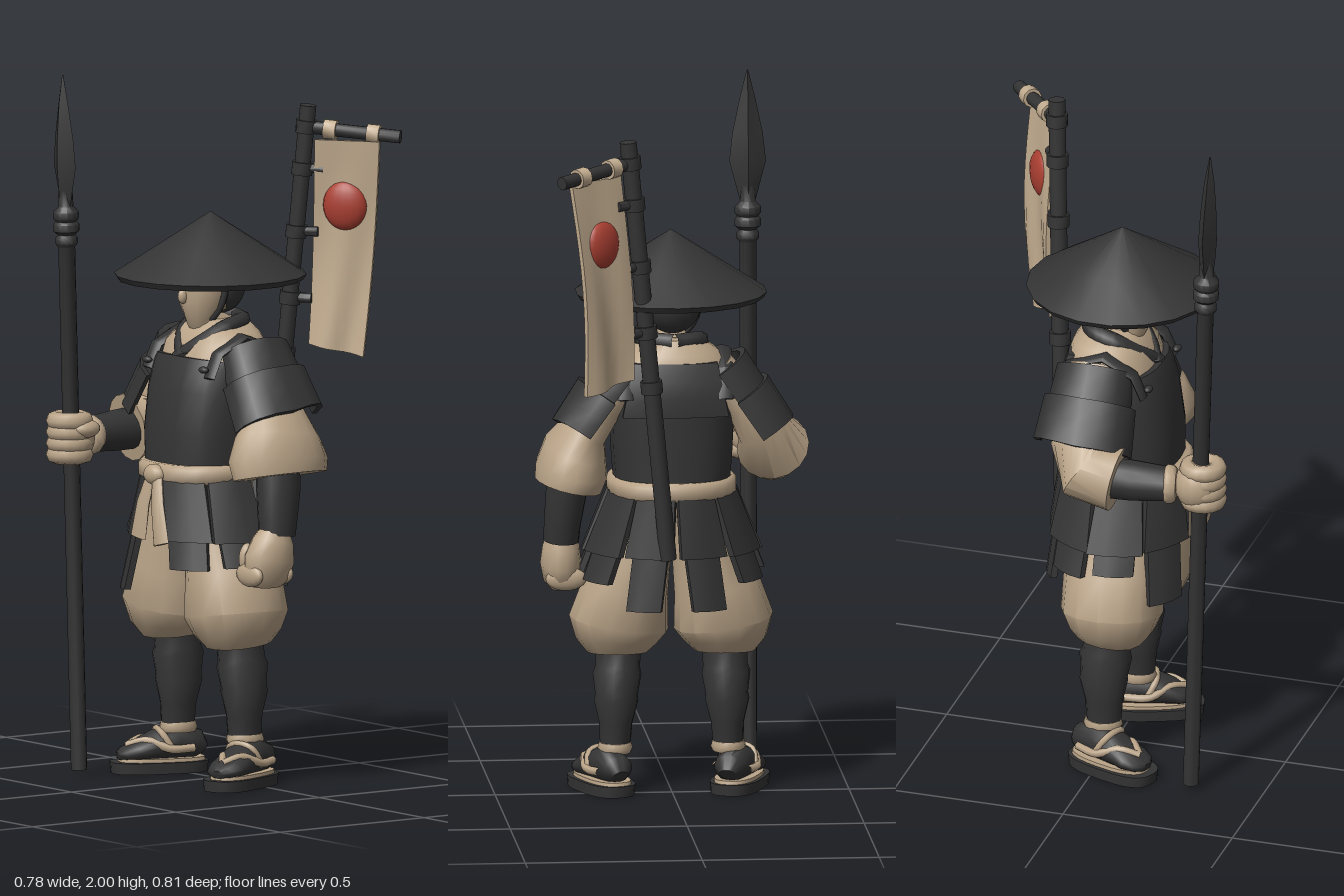
import * as THREE from 'three';
import { toCreasedNormals } from 'three/addons/utils/BufferGeometryUtils.js';

const material = (name, color) => Object.assign(new THREE.MeshStandardMaterial({ color }), { name });
const dark = material('charcoal', 0x343434);
const cloth = material('tan', 0xbaa488);
const pale = material('paleTan', 0xc3ad90);
const red = material('red', 0xaa3f32);
const V = (x, y, z) => new THREE.Vector3(x, y, z);

export function createModel() {
  const model = new THREE.Group();
  model.name = 'footSoldier';

  const add = (name, geometry, mat, parent = model) => {
    const mesh = new THREE.Mesh(geometry, mat);
    mesh.name = name;
    parent.add(mesh);
    return mesh;
  };

  // Skin elliptical rings [x, y, z, a, b] along a path; power > 2 squares them off
  function loft(name, mat, rings, { seg = 14, power = 2, crease = 0.9, parent = model } = {}) {
    const pos = [], index = [], n = rings.length;
    const centre = rings.map(r => V(r[0], r[1], r[2]));
    const round = c => Math.sign(c) * Math.abs(c) ** (2 / power);
    rings.forEach((r, j) => {
      const t = centre[Math.min(j + 1, n - 1)].clone().sub(centre[Math.max(j - 1, 0)]).normalize();
      const u = V(1, 0, 0).addScaledVector(t, -t.x).normalize();
      const v = t.clone().cross(u);
      for (let i = 0; i < seg; i++) {
        const q = (i / seg) * Math.PI * 2;
        const p = centre[j].clone().addScaledVector(u, r[3] * round(Math.cos(q))).addScaledVector(v, r[4] * round(Math.sin(q)));
        pos.push(p.x, p.y, p.z);
      }
    });
    pos.push(...centre[0].toArray(), ...centre[n - 1].toArray());
    for (let i = 0; i < seg; i++) {
      const k = (i + 1) % seg, top = (n - 1) * seg;
      for (let j = 0; j < n - 1; j++) {
        const a = j * seg + i, b = j * seg + k;
        index.push(a, b, b + seg, a, b + seg, a + seg);
      }
      index.push(n * seg, k, i, n * seg + 1, top + i, top + k);
    }
    const g = new THREE.BufferGeometry();
    g.setAttribute('position', new THREE.Float32BufferAttribute(pos, 3));
    g.setIndex(index);
    return add(name, toCreasedNormals(g, crease), mat, parent);
  }

  // Bend a slab: f(s, t, d) places across, up and depth, each -0.5 to 0.5
  function panel(name, mat, nx, ny, f) {
    const g = new THREE.BoxGeometry(1, 1, 1, nx, ny, 1), p = g.attributes.position;
    for (let i = 0; i < p.count; i++) {
      const q = f(p.getX(i), p.getY(i), p.getZ(i));
      p.setXYZ(i, q.x, q.y, q.z);
    }
    return add(name, toCreasedNormals(g, 0.7), mat);
  }

  const rod = (name, mat, p, q, r, parent) => loft(name, mat, [[...p, r, r], [...q, r, r]], { seg: 10, parent });
  const tube = (name, mat, points, r, parent) =>
    add(name, new THREE.TubeGeometry(new THREE.CatmullRomCurve3(points.map(p => V(...p))), 16, r, 7), mat, parent);
  const ball = (name, mat, [x, y, z], [a, b, c], parent) => {
    const m = add(name, new THREE.SphereGeometry(1, 16, 12), mat, parent);
    m.position.set(x, y, z);
    m.scale.set(a, b, c);
    return m;
  };

  // Wide conical hat
  const hatProfile = [[0, 1.55], [0.262, 1.42], [0.272, 1.436], [0.15, 1.515], [0.001, 1.612]];
  const hat = add('hat', toCreasedNormals(new THREE.LatheGeometry(hatProfile.map(p => new THREE.Vector2(...p)), 18), 0.6), dark);
  hat.position.set(0.002, 0, 0.018);

  // Head
  loft('face', cloth, [[0, 1.27, 0.0, 0.055, 0.06], [0, 1.315, 0.045, 0.042, 0.05], [0, 1.345, 0.04, 0.066, 0.07],
    [0, 1.42, 0.03, 0.078, 0.082], [0, 1.5, 0.02, 0.065, 0.07]]);
  ball('nose', cloth, [0, 1.378, 0.112], [0.012, 0.022, 0.016]);
  ball('hair', dark, [0, 1.405, -0.012], [0.084, 0.085, 0.072]);
  tube('chinStrap', dark, [[-0.083, 1.46, 0.02], [-0.074, 1.37, 0.025], [-0.043, 1.315, 0.04], [0, 1.303, 0.05],
    [0.043, 1.315, 0.04], [0.074, 1.37, 0.025], [0.083, 1.46, 0.02]], 0.01);

  // Torso, cuirass with raised back, and collar
  loft('robe', cloth, [[0, 0.8, 0.025, 0.16, 0.16], [0, 1.0, 0.025, 0.165, 0.15], [0, 1.15, 0.0, 0.18, 0.138],
    [0, 1.23, -0.01, 0.17, 0.122], [0, 1.275, -0.015, 0.125, 0.1], [0, 1.31, -0.015, 0.07, 0.07]], { seg: 20, power: 2.4 });
  loft('cuirass', dark, [[0, 0.895, 0.025, 0.165, 0.165], [0, 0.99, 0.025, 0.172, 0.165], [0, 1.1, 0.015, 0.176, 0.158],
    [0, 1.17, 0.005, 0.172, 0.148], [0, 1.195, 0.002, 0.165, 0.14]], { seg: 24, power: 2.6 });
  panel('backPlate', dark, 6, 3, (s, t, d) =>
    V(-s * (0.27 - 0.06 * t), 1.175 + 0.15 * t, -0.137 + 0.05 * Math.max(t, 0) + s * s * 0.07 - d * 0.02));
  for (const s of [-1, 1]) {
    loft('shoulderStrap', dark, [[s * 0.148, 1.16, 0.128, 0.025, 0.008], [s * 0.145, 1.225, 0.098, 0.026, 0.01],
      [s * 0.14, 1.268, 0.01, 0.028, 0.012], [s * 0.14, 1.23, -0.1, 0.026, 0.01], [s * 0.14, 1.15, -0.13, 0.025, 0.008]], { seg: 8 });
    tube('collar', dark, [[0, 1.305, -0.078], [s * 0.065, 1.305, -0.045], [s * 0.08, 1.29, 0.025], [s * 0.045, 1.25, 0.08], [-s * 0.015, 1.2, 0.12]], 0.024);
    ball('strapToggle', dark, [s * 0.135, 1.185, 0.138], [0.018, 0.01, 0.012]);
  }

  // Sash with knot and two hanging tails
  loft('sash', cloth, [[0, 0.858, 0.028, 0.172, 0.178], [0, 0.868, 0.028, 0.183, 0.188], [0, 0.9, 0.028, 0.183, 0.188], [0, 0.912, 0.028, 0.172, 0.178]], { seg: 24, power: 2.3 });
  ball('sashKnot', cloth, [0.005, 0.88, 0.215], [0.04, 0.03, 0.025]);
  for (const [x0, x1, y1] of [[-0.005, -0.035, 0.7], [0.02, 0.075, 0.69]])
    loft('sashTail', cloth, [[x0, 0.885, 0.215, 0.018, 0.012], [(x0 + x1) / 2, 0.8, 0.235, 0.027, 0.012], [x1, y1, 0.242, 0.036, 0.01]], { seg: 8 });

  // Skirt plates round the waist: [degrees, upper width, lower edge]
  const skirt = [[-34, 0.16, 0.54], [32, 0.16, 0.62], [-78, 0.16, 0.64], [75, 0.16, 0.63],
    [-122, 0.16, 0.62], [122, 0.16, 0.62], [-161, 0.14, 0.55], [161, 0.14, 0.55]];
  for (const [deg, width, low] of skirt) {
    const q = (deg * Math.PI) / 180, sin = Math.sin(q), cos = Math.cos(q);
    const tier = (y0, y1, w0, w1, lift) => panel('skirtPlate', dark, 3, 2, (s, t, d) => {
      const y = y0 + (y1 - y0) * (t + 0.5), w = (w0 + (w1 - w0) * (t + 0.5)) * s;
      const drop = 0.87 - y, bow = lift + d * 0.018 - s * s * 0.045;
      return V(sin * (0.168 + drop * 0.4 + bow) + cos * w, y, 0.028 + cos * (0.17 + drop * 0.12 + bow) - sin * w);
    });
    tier(0.7, 0.875, width, width * 0.78, 0.01);
    tier(low, 0.73, width * 0.72, width * 0.72, -0.002);
  }

  for (const s of [-1, 1]) {
    // Baggy trousers, wrapped shins
    loft('trouserLeg', cloth, [[s * 0.08, 0.84, 0.025, 0.075, 0.12], [s * 0.095, 0.7, 0.025, 0.095, 0.132], [s * 0.128, 0.59, 0.03, 0.122, 0.138],
      [s * 0.148, 0.485, 0.035, 0.142, 0.144], [s * 0.152, 0.435, 0.033, 0.118, 0.122], [s * 0.152, 0.4, 0.03, 0.085, 0.095]], { seg: 14, power: 2.2, crease: 0.7 });
    loft('shinWrap', dark, [[s * 0.15, 0.43, 0.025, 0.065, 0.07], [s * 0.152, 0.36, 0.02, 0.063, 0.068], [s * 0.154, 0.34, 0.018, 0.069, 0.075],
      [s * 0.156, 0.28, 0.014, 0.06, 0.067], [s * 0.157, 0.265, 0.013, 0.063, 0.069], [s * 0.158, 0.2, 0.014, 0.047, 0.054],
      [s * 0.16, 0.12, 0.014, 0.042, 0.048]]);

    // Splayed foot in a strapped sandal
    const foot = new THREE.Group();
    foot.name = s > 0 ? 'leftFoot' : 'rightFoot';
    foot.position.set(s * 0.196, 0, 0.053);
    foot.rotation.y = s * 0.36;
    model.add(foot);
    loft('sole', dark, [[0, 0, 0, 0.068, 0.138], [0, 0.032, 0, 0.07, 0.141]], { seg: 24, power: 2.8, parent: foot });
    loft('soleEdging', cloth, [[0, 0.03, -0.008, 0.059, 0.126], [0, 0.042, -0.008, 0.058, 0.123]], { seg: 24, power: 2.6, parent: foot });
    loft('sock', dark, [[0, 0.06, -0.128, 0.024, 0.02], [0, 0.075, -0.11, 0.044, 0.042], [0, 0.085, -0.05, 0.05, 0.055],
      [0, 0.075, 0.01, 0.055, 0.045], [0, 0.06, 0.07, 0.058, 0.03], [0, 0.052, 0.105, 0.044, 0.02], [0, 0.048, 0.12, 0.02, 0.012]], { parent: foot });
    for (const k of [-1, 1])
      tube('sandalStrap', cloth, [[0, 0.076, 0.095], [k * 0.03, 0.092, 0.045], [k * 0.056, 0.07, -0.02], [k * 0.048, 0.07, -0.09]], 0.012, foot);
    tube('instepStrap', cloth, [[-0.054, 0.06, -0.03], [-0.037, 0.112, 0], [0, 0.122, 0.005], [0.037, 0.112, 0], [0.054, 0.06, -0.03]], 0.01, foot);
    loft('ankleCord', cloth, [[s * 0.16, 0.115, 0.012, 0.044, 0.05], [s * 0.16, 0.128, 0.012, 0.05, 0.056], [s * 0.16, 0.145, 0.012, 0.045, 0.051]]);

    // Two overlapping shoulder guards, curved round the upper arm
    const guardZ = s > 0 ? -0.033 : -0.018;
    [[0.5, 1, 0], [0, 0.58, 0.014]].forEach(([from, to, lift]) => panel('shoulderGuard', dark, 8, 2, (u, t, d) => {
      const k = 1 - (from + (to - from) * (t + 0.5)), q = u * 3.5;
      const out = (0.076 + lift + d * 0.018) * Math.cos(q), wide = 0.102 + 0.018 * k + lift + d * 0.018;
      const rise = 0.035 * k * Math.max(0, s * Math.sin(q) * -guardZ * 30);
      return V(s * (0.135 + 0.125 * k + out * 0.82), 1.225 - 0.2 * k + out * 0.57 + rise, guardZ - s * wide * Math.sin(q));
    }));
  }

  // Left arm hanging, wide sleeve, fist closed
  loft('leftSleeve', cloth, [[0.12, 1.225, -0.03, 0.055, 0.08], [0.2, 1.12, -0.03, 0.058, 0.088], [0.25, 1.05, -0.028, 0.066, 0.1],
    [0.275, 0.995, -0.018, 0.09, 0.135], [0.285, 0.935, -0.012, 0.103, 0.157], [0.295, 0.89, -0.012, 0.096, 0.148]], { seg: 16 });
  loft('leftForearm', dark, [[0.285, 0.96, -0.01, 0.055, 0.065], [0.3, 0.86, -0.002, 0.058, 0.066], [0.31, 0.77, 0.008, 0.052, 0.058], [0.312, 0.725, 0.012, 0.05, 0.054]]);
  loft('leftFist', cloth, [[0.312, 0.745, 0.018, 0.038, 0.042], [0.312, 0.71, 0.025, 0.052, 0.062], [0.312, 0.66, 0.038, 0.058, 0.078],
    [0.308, 0.61, 0.045, 0.052, 0.07], [0.305, 0.585, 0.045, 0.035, 0.05]]);
  for (let i = 0; i < 4; i++) ball('leftFinger', cloth, [0.3, 0.618, 0.098 - i * 0.035], [0.058, 0.034, 0.02]);
  ball('leftThumb', cloth, [0.272, 0.66, 0.085], [0.022, 0.045, 0.026]);

  // Right arm bent forward, gripping the spear
  loft('rightSleeve', cloth, [[-0.12, 1.225, -0.025, 0.055, 0.08], [-0.2, 1.12, -0.025, 0.058, 0.088], [-0.25, 1.05, -0.022, 0.074, 0.09],
    [-0.286, 0.985, 0.012, 0.104, 0.1], [-0.288, 0.97, 0.095, 0.09, 0.097]], { seg: 16 });
  loft('rightForearm', dark, [[-0.288, 0.97, 0.05, 0.062, 0.06], [-0.28, 0.967, 0.14, 0.06, 0.058], [-0.268, 0.965, 0.24, 0.05, 0.05]]);
  loft('rightCuff', cloth, [[-0.27, 0.965, 0.228, 0.05, 0.05], [-0.268, 0.965, 0.237, 0.057, 0.057], [-0.266, 0.965, 0.252, 0.055, 0.055], [-0.264, 0.965, 0.262, 0.046, 0.046]]);
  ball('rightPalm', cloth, [-0.248, 0.967, 0.318], [0.066, 0.074, 0.066]);
  for (let i = 0; i < 4; i++) {
    const finger = add('rightFinger', new THREE.TorusGeometry(0.042, 0.026, 8, 16), cloth);
    finger.rotation.x = Math.PI / 2;
    finger.position.set(-0.24, 0.92 + i * 0.032, 0.332);
  }
  ball('rightThumb', cloth, [-0.195, 0.995, 0.31], [0.034, 0.026, 0.046]);

  // Spear, leaning slightly forward
  const spear = new THREE.Group();
  spear.name = 'spear';
  spear.position.set(-0.243, 0.02, 0.297);
  spear.rotation.x = 0.0288;
  model.add(spear);
  const shaft = [[0.001, 0], [0.023, 0], [0.024, 1.49], [0.032, 1.5], [0.032, 1.515], [0.025, 1.525], [0.037, 1.535], [0.037, 1.555],
    [0.03, 1.563], [0.037, 1.572], [0.037, 1.59], [0.022, 1.605], [0.02, 1.65]];
  add('shaft', toCreasedNormals(new THREE.LatheGeometry(shaft.map(p => new THREE.Vector2(...p)), 12), 0.8), dark, spear);
  loft('blade', dark, [[0, 1.6, 0, 0.02, 0.018], [0, 1.66, 0, 0.036, 0.024], [0, 1.72, 0, 0.052, 0.027], [0, 1.8, 0, 0.043, 0.024],
    [0, 1.9, 0, 0.022, 0.015], [0, 1.98, 0, 0.002, 0.002]], { seg: 4, crease: 0.5, parent: spear });

  // Banner pole on the back, with joints and short pegs
  const polePoint = y => { const k = (y - 0.7) / 1.21; return [0.025 + 0.118 * k, y, -0.166 - 0.054 * k]; };
  rod('bannerPole', dark, polePoint(0.7), polePoint(1.91), 0.024);
  for (const y of [1.2, 1.36, 1.55, 1.73, 1.85]) {
    rod('poleJoint', dark, polePoint(y - 0.018), polePoint(y + 0.018), 0.031);
    const [px, py, pz] = polePoint(y);
    if (y > 1.3 && y < 1.8) rod('polePeg', dark, [px, py, pz], [px + 0.05, py, pz - 0.04], 0.014);
  }
  const barPoint = k => [0.12 + 0.225 * k, 1.85 - 0.022 * k, -0.2 - 0.195 * k];
  rod('crossbar', dark, barPoint(0), barPoint(1), 0.019);
  for (const k of [0.32, 0.74]) rod('bannerLoop', pale, barPoint(k - 0.06), barPoint(k + 0.06), 0.028);

  // Billowing banner with a raised disc on both faces
  panel('banner', pale, 8, 10, (s, t, d) => {
    const k = 0.5 - t, w = s * (0.19 - 0.025 * k);
    const n = d * 0.014 + 0.012 * k * Math.sin(s * 8 + k * 3) - 0.018 * Math.sin(Math.PI * k);
    return V(0.242 - 0.04 * k + 0.78 * w + 0.62 * n, 1.815 - 0.6 * k - 0.03 * s * k, -0.285 + 0.01 * k - 0.62 * w + 0.78 * n);
  });
  ball('bannerDisc', red, [0.224, 1.628, -0.289], [0.064, 0.07, 0.03]).rotation.y = 0.672;

  return model;
}
